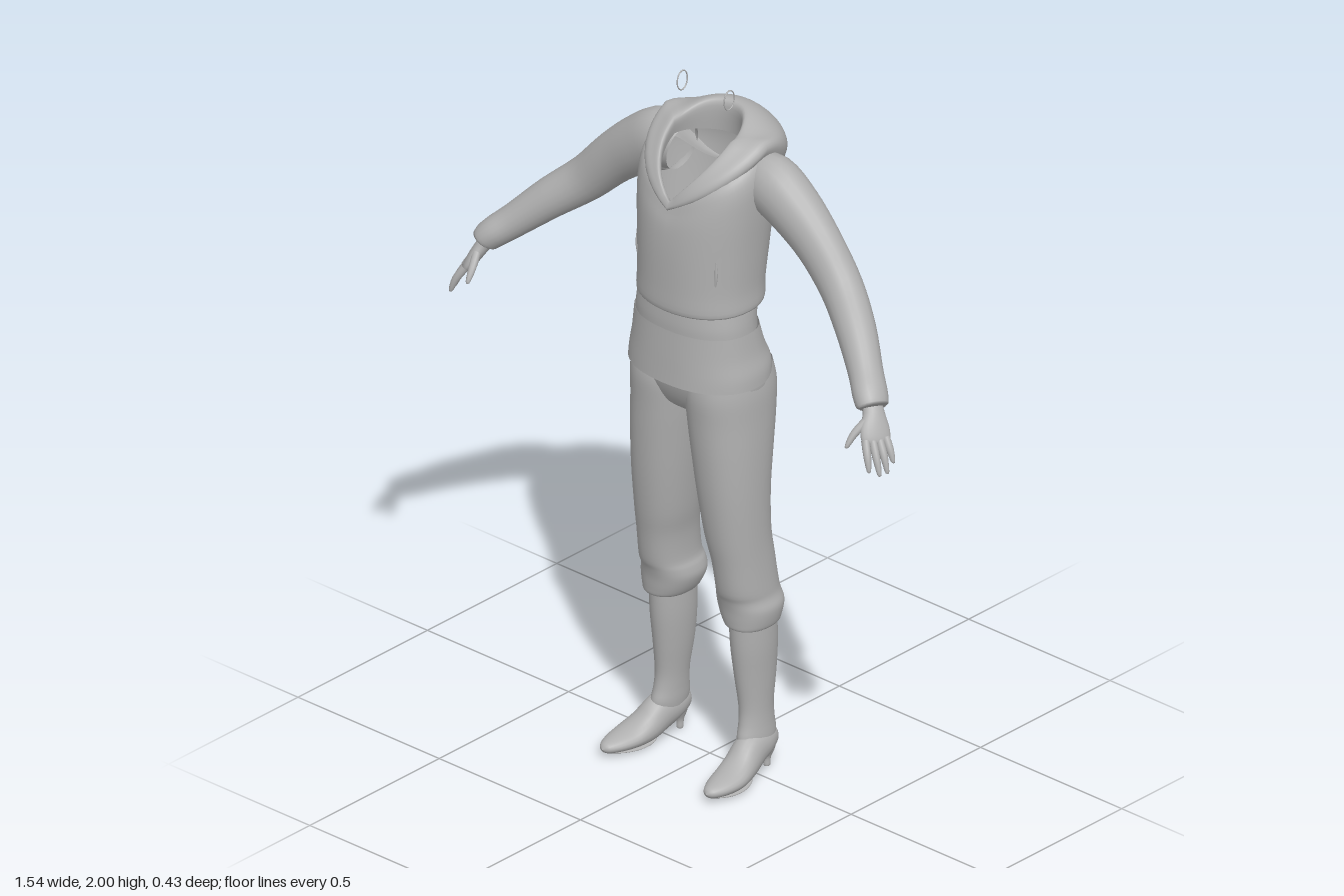
import * as THREE from 'three';

const grey = new THREE.MeshStandardMaterial({ color: 0xb0b0b0, side: THREE.DoubleSide });
grey.name = 'plain grey';
const V = (x, y, z) => new THREE.Vector3(x, y, z);
const SEG = 40;

// Catmull-Rom through rows of numbers
function smooth(rows, steps) {
  const out = [], at = i => rows[Math.min(Math.max(i, 0), rows.length - 1)];
  for (let i = 0; i < rows.length - 1; i++) {
    for (let k = 0; k < steps; k++) {
      const t = k / steps;
      out.push(rows[i].map((b, c) => {
        const a = at(i - 1)[c], d = at(i + 1)[c], e = at(i + 2)[c];
        return b + 0.5 * t * (d - a + t * (2 * a - 5 * b + 4 * d - e + t * (3 * (b - d) + e - a)));
      }));
    }
  }
  out.push(rows[rows.length - 1]);
  return out;
}

// Skin over closed rings of points
function loft(rings) {
  const n = rings[0].length, index = [];
  for (let i = 0; i < rings.length - 1; i++) {
    for (let j = 0; j < n; j++) {
      const a = i * n + j, b = i * n + (j + 1) % n;
      index.push(a, b, b + n, a, b + n, a + n);
    }
  }
  const g = new THREE.BufferGeometry().setFromPoints(rings.flat());
  g.setIndex(index);
  g.computeVertexNormals();
  return g;
}

// Upright shell; row: centre x, half width, front z, back z, then y at front, side, back
function shell(rows, { steps = 4, power = 1 } = {}) {
  const bend = v => Math.sign(v) * Math.abs(v) ** power;
  return loft(smooth(rows, steps).map(([cx, w, zf, zb, yf, ys, yb]) =>
    Array.from({ length: SEG }, (_, j) => {
      const a = j / SEG * Math.PI * 2, s = (1 - Math.cos(a)) / 2;
      const y = s < 0.5 ? yf + (ys - yf) * Math.sqrt(2 * s)
        : ys + (yb - ys) * THREE.MathUtils.smoothstep(2 * s - 1, 0, 1);
      return V(cx + w * bend(Math.sin(a)), y, (zf + zb) / 2 + (zf - zb) / 2 * bend(Math.cos(a)));
    })));
}
// Shell with level rings; row: y, x min, x max, front z, back z
const level = (rows, opts) => shell(rows.map(([y, x0, x1, zf, zb]) =>
  [(x0 + x1) / 2, (x1 - x0) / 2, zf, zb, y, y, y]), opts);

// Limb along a path; row: x, y, z, radius along axis, radius across it
function limb(rows, axis, steps = 4, seg = 20) {
  const r = smooth(rows, steps), p = r.map(q => V(q[0], q[1], q[2]));
  return loft(r.map((q, i) => {
    const t = p[Math.min(i + 1, p.length - 1)].clone().sub(p[Math.max(i - 1, 0)]).normalize();
    const n = axis.clone().addScaledVector(t, -axis.dot(t)).normalize();
    const b = t.clone().cross(n);
    return Array.from({ length: seg }, (_, j) => {
      const a = j / seg * Math.PI * 2;
      return p[i].clone().addScaledVector(n, Math.cos(a) * q[3]).addScaledVector(b, Math.sin(a) * q[4]);
    });
  }));
}

function mirrored(geo) {
  const g = geo.clone().scale(-1, 1, 1), ix = g.index.array;
  for (let i = 0; i < ix.length; i += 3) [ix[i], ix[i + 1]] = [ix[i + 1], ix[i]];
  g.computeVertexNormals();
  return g;
}

export function createModel() {
  const model = new THREE.Group();
  const add = (name, geo) => {
    const m = new THREE.Mesh(geo, grey);
    m.name = name;
    model.add(m);
  };
  const pair = (name, geo) => {
    add('left ' + name, geo);
    add('right ' + name, mirrored(geo));
  };

  // Hooded top: body, rising to a V neckline
  add('top body', shell([
    [0, 0.165, 0.165, -0.08, 1.385, 1.385, 1.385],
    [0, 0.176, 0.18, -0.108, 1.385, 1.39, 1.39],
    [0, 0.174, 0.18, -0.115, 1.45, 1.45, 1.45],
    [0, 0.180, 0.178, -0.13, 1.55, 1.56, 1.56],
    [0, 0.188, 0.172, -0.14, 1.62, 1.68, 1.68],
    [0, 0.188, 0.162, -0.14, 1.66, 1.77, 1.75],
    [0, 0.165, 0.156, -0.13, 1.68, 1.815, 1.80],
    [0, 0.105, 0.150, -0.10, 1.69, 1.83, 1.86],
  ], { power: 0.9 }));
  add('waistband', level([
    [1.32, -0.178, 0.178, 0.172, -0.07], [1.35, -0.176, 0.176, 0.172, -0.07],
    [1.40, -0.17, 0.17, 0.168, -0.08],
  ], { power: 0.9 }));
  // Draped hood, from the outer tuck over the rim to the lining
  add('hood', shell([
    [0, 0.13, 0.155, -0.11, 1.672, 1.79, 1.70],
    [0, 0.165, 0.164, -0.165, 1.672, 1.805, 1.685],
    [0, 0.183, 0.167, -0.212, 1.677, 1.84, 1.755],
    [0, 0.172, 0.166, -0.205, 1.683, 1.862, 1.82],
    [0, 0.138, 0.163, -0.155, 1.690, 1.862, 1.875],
    [0, 0.105, 0.158, -0.105, 1.695, 1.86, 1.895],
    [0, 0.095, 0.150, -0.085, 1.690, 1.845, 1.875],
    [0, 0.10, 0.145, -0.09, 1.685, 1.81, 1.80],
  ]));
  pair('pocket slit', limb([
    [0.135, 1.475, 0.128, 0.002, 0.003], [0.14, 1.51, 0.128, 0.005, 0.004], [0.138, 1.555, 0.128, 0.002, 0.003],
  ], V(0, 0, 1), 3, 8));

  // Sleeves
  pair('sleeve', limb([
    [0.13, 1.735, -0.035, 0.06, 0.07], [0.19, 1.74, -0.035, 0.072, 0.086],
    [0.27, 1.695, -0.035, 0.069, 0.08], [0.36, 1.625, -0.03, 0.06, 0.07],
    [0.45, 1.535, -0.018, 0.056, 0.062], [0.54, 1.46, 0.025, 0.053, 0.055],
    [0.62, 1.385, 0.075, 0.047, 0.046], [0.665, 1.345, 0.106, 0.049, 0.042],
    [0.685, 1.322, 0.118, 0.044, 0.036], [0.675, 1.332, 0.112, 0.03, 0.02],
  ], V(0, 0, 1)));

  // Hands: palm, thumb and four fingers
  const spread = V(-0.45, 0.1, 0.88);
  pair('palm', limb([
    [0.67, 1.335, 0.108, 0.026, 0.02], [0.69, 1.305, 0.12, 0.03, 0.02],
    [0.708, 1.27, 0.135, 0.041, 0.018], [0.722, 1.24, 0.145, 0.037, 0.014], [0.727, 1.232, 0.148, 0.004, 0.003],
  ], spread));
  const fingers = [
    ['index finger', [0.708, 1.25, 0.172], [0.728, 1.215, 0.186], [0.74, 1.18, 0.193]],
    ['middle finger', [0.718, 1.246, 0.155], [0.742, 1.207, 0.166], [0.758, 1.168, 0.172]],
    ['ring finger', [0.727, 1.245, 0.138], [0.75, 1.21, 0.146], [0.765, 1.17, 0.15]],
    ['little finger', [0.733, 1.25, 0.121], [0.752, 1.222, 0.125], [0.765, 1.192, 0.127]],
    ['thumb', [0.69, 1.295, 0.145], [0.676, 1.262, 0.18], [0.671, 1.232, 0.203]],
  ];
  for (const [name, a, b, c] of fingers) {
    pair(name, limb([[...a, 0.011, 0.012], [...b, 0.0105, 0.0105], [...c, 0.006, 0.006],
      [c[0], c[1] - 0.004, c[2] + 0.001, 0.0008, 0.0008]], V(0, 0, 1), 3, 12));
  }

  // Undershirt hem, lower in front
  add('shirt hem', shell([
    [0, 0.205, 0.186, -0.11, 1.172, 1.172, 1.20], [0, 0.202, 0.184, -0.108, 1.20, 1.21, 1.22],
    [0, 0.190, 0.180, -0.092, 1.26, 1.26, 1.26], [0, 0.181, 0.175, -0.073, 1.325, 1.325, 1.325],
  ], { power: 0.88 }));

  // Trousers
  add('trouser seat', level([
    [1.05, -0.05, 0.05, 0.08, -0.03], [1.08, -0.14, 0.14, 0.125, -0.075],
    [1.13, -0.19, 0.19, 0.15, -0.10], [1.19, -0.197, 0.197, 0.163, -0.105], [1.24, -0.185, 0.185, 0.165, -0.09],
  ], { power: 0.9 }));
  pair('trouser leg', level([
    [0.45, 0.10, 0.19, 0.05, -0.07], [0.444, 0.084, 0.205, 0.07, -0.084], [0.465, 0.068, 0.213, 0.075, -0.092],
    [0.50, 0.055, 0.217, 0.079, -0.10], [0.53, 0.058, 0.208, 0.086, -0.094], [0.56, 0.066, 0.206, 0.096, -0.086],
    [0.64, 0.062, 0.203, 0.108, -0.075], [0.72, 0.047, 0.202, 0.122, -0.066], [0.84, 0.030, 0.203, 0.137, -0.068],
    [0.96, 0.013, 0.203, 0.147, -0.085], [1.06, -0.001, 0.201, 0.153, -0.102],
    [1.14, -0.005, 0.199, 0.158, -0.108], [1.20, 0.01, 0.19, 0.15, -0.095],
  ], { power: 0.92 }));

  // Boots: shaft, pointed foot and slim heel
  pair('boot shaft', level([
    [0.07, 0.122, 0.190, 0.045, -0.066], [0.11, 0.116, 0.190, 0.052, -0.078], [0.15, 0.114, 0.187, 0.042, -0.074],
    [0.20, 0.110, 0.186, 0.038, -0.072], [0.29, 0.098, 0.190, 0.048, -0.084],
    [0.38, 0.090, 0.195, 0.058, -0.088], [0.47, 0.088, 0.195, 0.062, -0.084],
  ]));
  pair('boot foot', limb([
    [0.153, 0.085, -0.080, 0.003, 0.004], [0.153, 0.085, -0.074, 0.022, 0.028], [0.155, 0.085, -0.035, 0.038, 0.045],
    [0.160, 0.075, 0.015, 0.042, 0.054], [0.168, 0.048, 0.065, 0.047, 0.043], [0.177, 0.034, 0.115, 0.049, 0.030],
    [0.182, 0.029, 0.165, 0.039, 0.022], [0.184, 0.027, 0.203, 0.020, 0.014], [0.184, 0.027, 0.215, 0.001, 0.001],
  ], V(1, 0, 0)));
  pair('boot sole', limb([
    [0.160, 0.020, 0.03, 0.010, 0.003], [0.168, 0.008, 0.06, 0.032, 0.006], [0.177, 0.006, 0.11, 0.041, 0.006],
    [0.182, 0.009, 0.16, 0.031, 0.005], [0.184, 0.016, 0.20, 0.012, 0.004],
  ], V(1, 0, 0)));
  pair('boot heel', level([
    [0, 0.152, 0.156, -0.050, -0.054], [0.001, 0.145, 0.163, -0.043, -0.061], [0.025, 0.144, 0.164, -0.042, -0.064],
    [0.05, 0.135, 0.175, -0.028, -0.073], [0.075, 0.128, 0.182, -0.01, -0.078],
  ]));

  // Floating hoop earrings
  pair('hoop earring', new THREE.TorusGeometry(0.028, 0.002, 8, 32)
    .rotateY(Math.PI / 2).scale(1, 1, 0.7).translate(0.083, 1.97, 0.016));

  return model;
}
